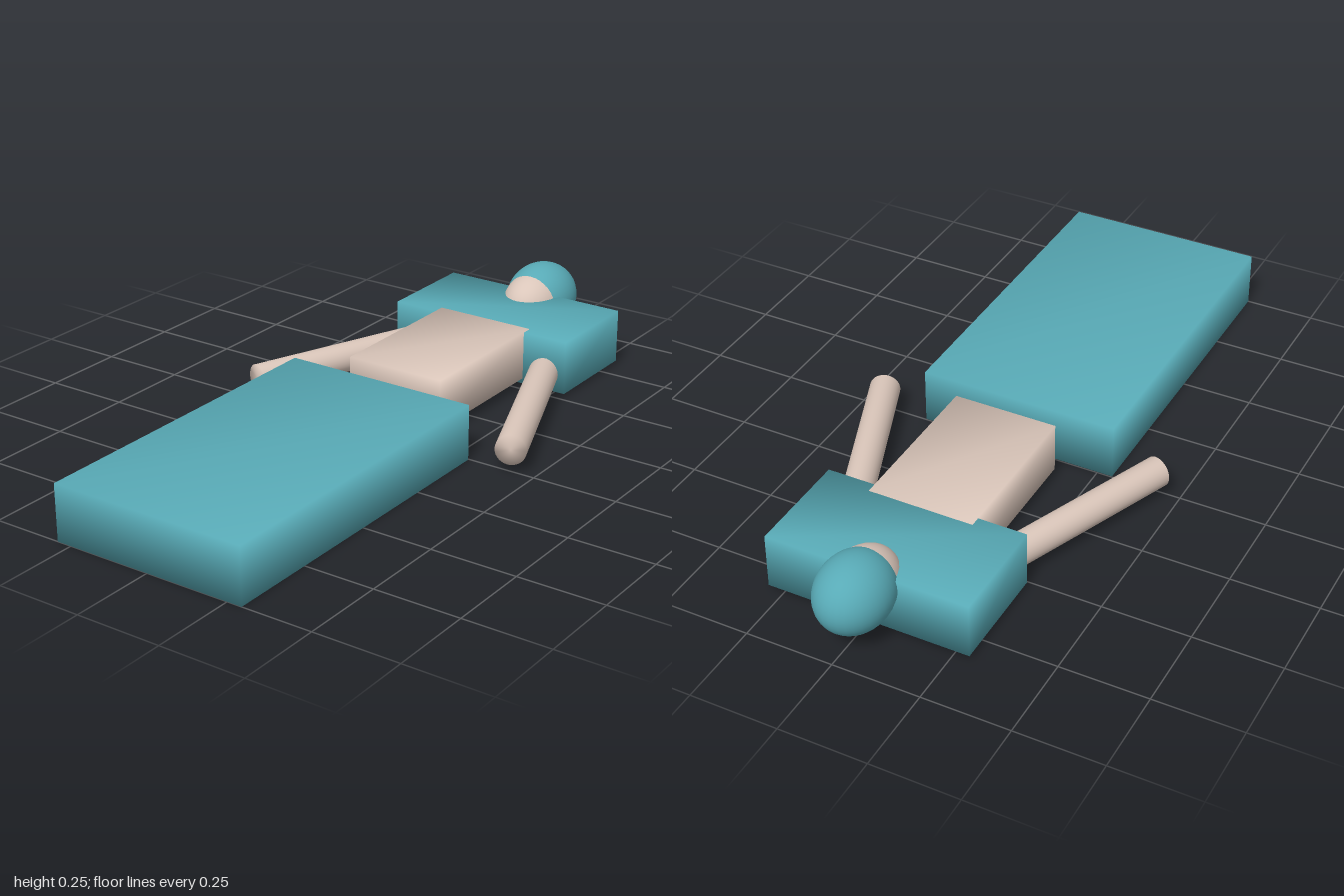
import * as THREE from 'three';
import { mergeVertices } from 'three/addons/utils/BufferGeometryUtils.js';

// Weld corners so shading runs smoothly across every edge
function soften(geometry) {
  geometry.deleteAttribute('uv');
  geometry.deleteAttribute('normal');
  const welded = mergeVertices(geometry, 1e-4);
  welded.computeVertexNormals();
  return welded;
}

export function createModel() {
  const model = new THREE.Group();
  model.name = 'lyingFigure';

  const cloth = new THREE.MeshStandardMaterial({ color: 0x58aab6 });
  cloth.name = 'teal cloth';
  const skin = new THREE.MeshStandardMaterial({ color: 0xdac6ba });
  skin.name = 'pale skin';

  function add(name, geometry, material) {
    const mesh = new THREE.Mesh(geometry, material);
    mesh.name = name;
    model.add(mesh);
    return mesh;
  }

  // Box given by half width, y range and z range
  function block(name, material, halfX, y0, y1, z0, z1) {
    const mesh = add(name, soften(new THREE.BoxGeometry(halfX * 2, y1 - y0, z1 - z0)), material);
    mesh.position.set(0, (y0 + y1) / 2, (z0 + z1) / 2);
  }

  // Ellipsoid given by centre height, centre depth and radii
  function ellipsoid(name, material, y, z, rx, ry, rz) {
    const geometry = new THREE.SphereGeometry(1, 32, 24);
    geometry.scale(rx, ry, rz);
    add(name, geometry, material).position.set(0, y, z);
  }

  // Body blocks
  block('legCover', cloth, 0.294, 0, 0.163, 0.003, 1);
  block('torso', skin, 0.153, 0.027, 0.174, -0.545, -0.07);
  block('chestCover', cloth, 0.294, 0.011, 0.172, -0.828, -0.515);

  // Head: cap overlapping the face
  ellipsoid('cap', cloth, 0.144, -0.876, 0.102, 0.104, 0.124);
  ellipsoid('face', skin, 0.139, -0.84, 0.09, 0.093, 0.125);

  // Arms, splayed outwards from the shoulders
  for (const side of [1, -1]) {
    const shoulder = new THREE.Vector3(side * 0.225, 0.065, -0.513);
    const hand = new THREE.Vector3(side * 0.429, 0.065, 0.005);
    const axis = hand.clone().sub(shoulder);
    const arm = add(side > 0 ? 'leftArm' : 'rightArm',
      soften(new THREE.CylinderGeometry(0.044, 0.044, axis.length(), 32)), skin);
    arm.position.copy(shoulder).add(hand).multiplyScalar(0.5);
    arm.quaternion.setFromUnitVectors(new THREE.Vector3(0, 1, 0), axis.normalize());
  }

  return model;
}
